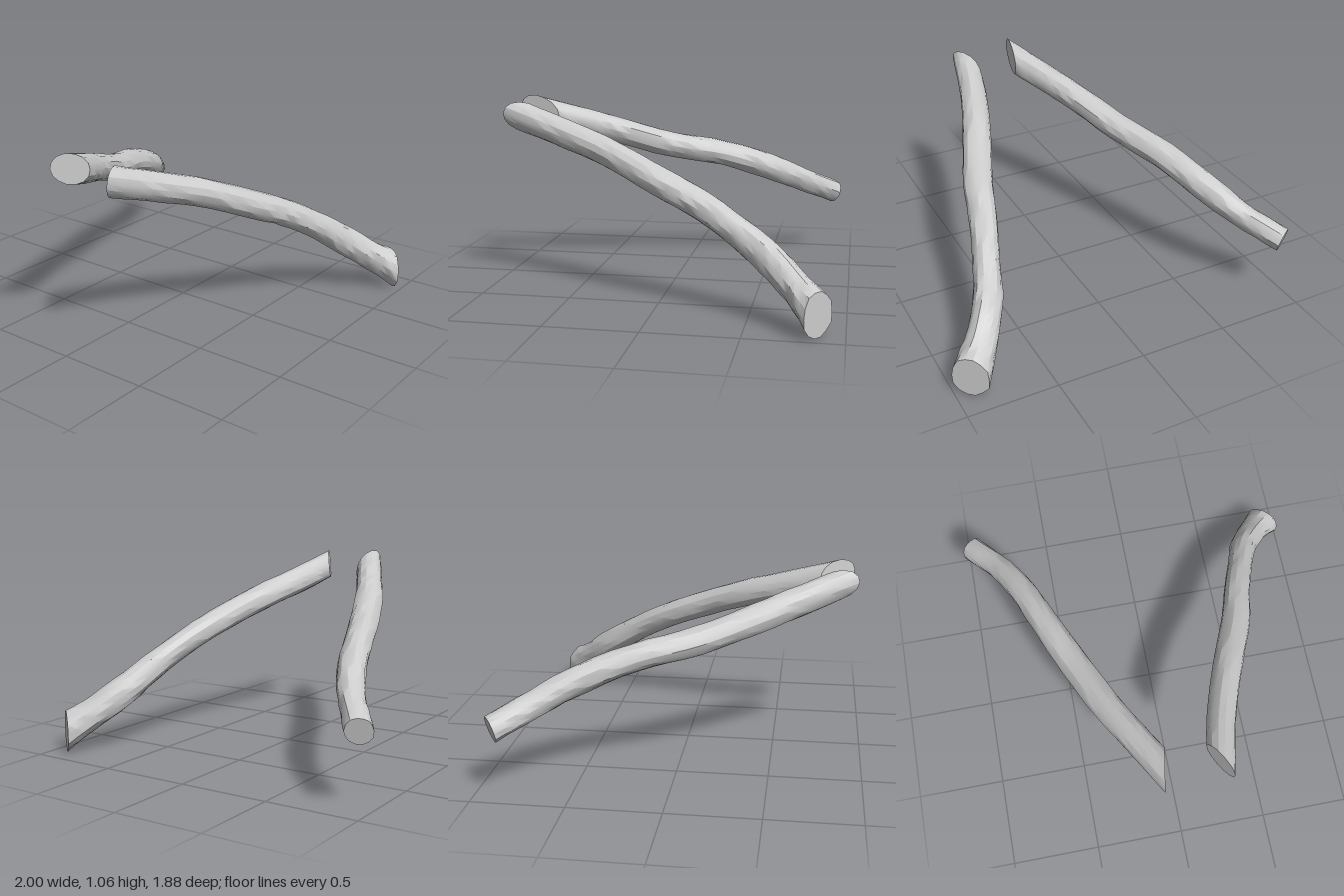
import * as THREE from 'three';
import { toCreasedNormals } from 'three/addons/utils/BufferGeometryUtils.js';

const SIDES = 14, RINGS = 26;

// Small seeded random numbers for the uneven bark
function seeded(seed) {
  return () => {
    seed = (seed * 16807) % 2147483647;
    return seed / 2147483647;
  };
}

// Lofts a bent, knobbly branch along stations [x, y, z, radius],
// with both ends cut along slanted planes
function branchGeometry(stations, startNormal, endNormal, seed) {
  const random = seeded(seed);
  const curve = new THREE.CatmullRomCurve3(stations.map(s => new THREE.Vector3(s[0], s[1], s[2])));
  const length = curve.getLength();
  const up = new THREE.Vector3(0, 1, 0);
  const n0 = new THREE.Vector3(...startNormal).normalize();
  const n1 = new THREE.Vector3(...endNormal).normalize();
  const positions = [], index = [];

  for (let i = 0; i <= RINGS; i++) {
    const t = i / RINGS;
    // getPoint keeps the parameter in step with the station radii
    const centre = curve.getPoint(t);
    const tangent = curve.getTangent(t);
    const side = tangent.clone().cross(up).normalize();
    const lift = side.clone().cross(tangent);
    const f = t * (stations.length - 1), k = Math.min(Math.floor(f), stations.length - 2);
    const radius = THREE.MathUtils.lerp(stations[k][3], stations[k + 1][3], f - k);
    const fade0 = Math.max(0, 1 - t * length / 0.4);
    const fade1 = Math.max(0, 1 - (1 - t) * length / 0.3);
    const rough = 0.03 + 0.07 * t;
    for (let j = 0; j < SIDES; j++) {
      const a = (j / SIDES) * Math.PI * 2;
      const bump = 1 + (random() - 0.5) * rough + 0.035 * Math.sin(2 * a + 9 * t + seed);
      const v = side.clone().multiplyScalar(Math.cos(a)).addScaledVector(lift, Math.sin(a));
      v.multiplyScalar(radius * bump);
      // Slide along the branch onto the slanted cut
      const slide = -fade0 * v.dot(n0) / tangent.dot(n0) - fade1 * v.dot(n1) / tangent.dot(n1);
      v.addScaledVector(tangent, slide).add(centre);
      positions.push(v.x, v.y, v.z);
    }
  }

  // Bark skin
  for (let i = 0; i < RINGS; i++) {
    for (let j = 0; j < SIDES; j++) {
      const a = i * SIDES + j, b = i * SIDES + (j + 1) % SIDES;
      index.push(a, a + SIDES, b, b, a + SIDES, b + SIDES);
    }
  }
  // Cut ends
  const first = positions.length / 3, last = RINGS * SIDES;
  positions.push(...curve.getPoint(0).toArray(), ...curve.getPoint(1).toArray());
  for (let j = 0; j < SIDES; j++) {
    const next = (j + 1) % SIDES;
    index.push(first, j, next, first + 1, last + next, last + j);
  }

  const geometry = new THREE.BufferGeometry();
  geometry.setAttribute('position', new THREE.Float32BufferAttribute(positions, 3));
  geometry.setIndex(index);
  return toCreasedNormals(geometry, 0.45);
}

export function createModel() {
  const group = new THREE.Group();
  group.name = 'branches';
  const wood = new THREE.MeshStandardMaterial({ color: 0xcccccc });
  wood.name = 'paleGrey';

  // Longer drooping branch with a flared foot
  const left = new THREE.Mesh(branchGeometry([
    [0.21, 0.965, 0.84, 0.078],
    [0.27, 0.89, 0.60, 0.078],
    [0.375, 0.795, 0.30, 0.079],
    [0.50, 0.67, 0.00, 0.08],
    [0.56, 0.585, -0.20, 0.076],
    [0.63, 0.475, -0.40, 0.073],
    [0.71, 0.34, -0.60, 0.083],
    [0.815, 0.22, -0.75, 0.082],
    [0.925, 0.12, -0.865, 0.1],
  ], [-0.87, 0.1, 0.45], [0.65, 0, -0.76], 11), wood);
  left.name = 'leftBranch';

  // Straighter branch
  const right = new THREE.Mesh(branchGeometry([
    [-0.08, 0.97, 0.83, 0.08],
    [-0.205, 0.895, 0.60, 0.08],
    [-0.31, 0.83, 0.40, 0.08],
    [-0.44, 0.735, 0.10, 0.08],
    [-0.565, 0.675, -0.20, 0.076],
    [-0.685, 0.57, -0.50, 0.078],
    [-0.80, 0.475, -0.70, 0.07],
    [-0.94, 0.385, -0.885, 0.07],
  ], [0.98, 0, 0.18], [-0.55, -0.25, -0.8], 29), wood);
  right.name = 'rightBranch';

  group.add(left, right);
  return group;
}
